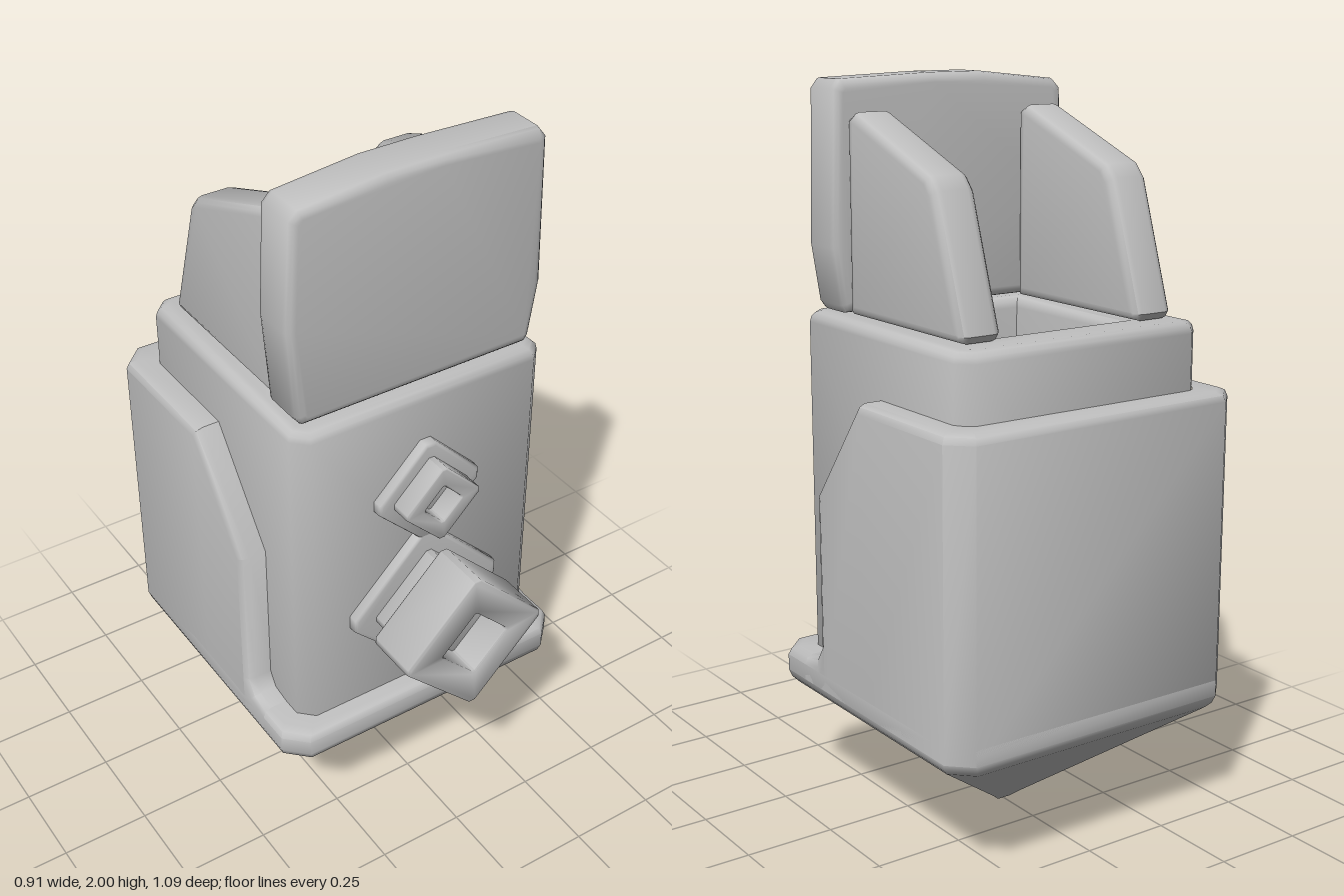
import * as THREE from 'three';
import { toCreasedNormals } from 'three/addons/utils/BufferGeometryUtils.js';

const grey = new THREE.MeshStandardMaterial({ color: 0xbfbfbf });
grey.name = 'plain grey';

function part(group, name, geometry) {
  const mesh = new THREE.Mesh(toCreasedNormals(geometry, 0.85), grey);
  mesh.name = name;
  group.add(mesh);
  return mesh;
}

const toShape = (pts) => new THREE.Shape(pts.map(([x, y]) => new THREE.Vector2(x, y)));

// Extrusion with rounded edges that keeps the outline's size and spans z from..to
function slab(pts, from, to, bevel, hole) {
  const shape = toShape(pts);
  if (hole) shape.holes.push(toShape(hole));
  const geometry = new THREE.ExtrudeGeometry(shape, {
    depth: to - from - 2 * bevel, bevelThickness: bevel, bevelSize: bevel,
    bevelOffset: -bevel, bevelSegments: 3,
  });
  return geometry.translate(0, 0, from + bevel);
}

// Rectangle with cut corners, half sizes a and b, corner cut c
function cutRect(a, b, c, oy = 0) {
  return [[a, b - c], [a, c - b], [a - c, -b], [c - a, -b],
    [-a, c - b], [-a, b - c], [c - a, b], [a - c, b]].map(([x, y]) => [x, y + oy]);
}

// Diamond with slightly blunted tips
function diamond(r, c, oy) {
  return [[r, c], [c, r], [-c, r], [-r, c], [-r, -c], [-c, -r], [c, -r], [r, -c]]
    .map(([x, y]) => [x, y + oy]);
}

// Surface through rows of points, optionally closed around each row
function skin(rows, closed) {
  const n = rows[0].length, index = [];
  for (let i = 0; i < rows.length - 1; i++) {
    for (let j = 0; j < (closed ? n : n - 1); j++) {
      const k = (j + 1) % n;
      const a = i * n + j, b = i * n + k, c = b + n, d = a + n;
      index.push(a, b, c, a, c, d);
    }
  }
  const geometry = new THREE.BufferGeometry();
  geometry.setAttribute('position', new THREE.Float32BufferAttribute(rows.flat(2), 3));
  geometry.setIndex(index);
  return geometry;
}

// Pointed base with a rounded lip: [height, scale]
function pointedBase() {
  const levels = [[0, 0.001], [0.004, 0.05], [0.02, 0.09], [0.325, 0.955], [0.34, 0.985],
    [0.36, 1], [0.405, 1], [0.422, 0.985], [0.43, 0.945], [0.43, 0.6]];
  return skin(levels.map(([y, s]) =>
    cutRect(0.453 * s, 0.447 * s, 0.058 * s).map(([x, z]) => [x, y, z - 0.095])), true);
}

// Wrap-around wall: sides stepped down toward the front, full height at the back
function wall() {
  // z and height of the top edge, then of the start of its rounding
  const edge = [[0.2, 0.43, 0.2, 0.405], [0.145, 0.44, 0.13, 0.42], [0.12, 0.48, 0.095, 0.47],
    [0.12, 0.91, 0.095, 0.9], [-0.1, 1.2, -0.11, 1.175]];
  const row = ([t, k]) => {
    const height = (low, high) => (k < 0 ? 0.36 : low + (high - low) * k);
    const half = edge.map(([z, h, zi, hi]) =>
      [0.453 - t, height(hi, h), zi + (z - zi) * Math.max(k, 0)]);
    half.push([0.453 - t, height(1.175, 1.2), -0.485 + t / 2]);
    half.push([0.395 - t / 2, height(1.175, 1.2), -0.542 + t]);
    return [...half, ...half.map(([x, y, z]) => [-x, y, z]).reverse()];
  };
  return skin([[0, -1], [0, 0], [0.007, 0.7], [0.025, 1], [0.085, 1]].map(row), false);
}

export function createModel() {
  const model = new THREE.Group();
  model.name = 'pointedTower';

  part(model, 'pointedBase', pointedBase());
  part(model, 'outerWall', wall());

  // Main body with an open well in its top
  const well = [[-0.205, -0.115], [0.205, -0.115], [0.205, 0.32], [-0.205, 0.32]];
  part(model, 'body', slab(cutRect(0.38, 0.38, 0.04, 0.085), 0.36, 1.38, 0.03, well)
    .rotateX(-Math.PI / 2));
  part(model, 'wellFloor', new THREE.BoxGeometry(0.43, 0.02, 0.455))
    .position.set(0, 1.16, -0.1025);

  // Slightly irregular front panel
  part(model, 'frontPanel', slab([[-0.34, 1.385], [0.335, 1.385], [0.35, 1.405], [0.375, 1.56],
    [0.365, 1.965], [0.345, 1.99], [0.06, 2], [-0.1, 2], [-0.34, 1.975], [-0.365, 1.95],
    [-0.38, 1.66], [-0.36, 1.41]], 0.125, 0.265, 0.025));

  // Pair of sloping side fins, outlined in z and y
  const fin = [[-0.125, 1.382], [0.38, 1.382], [0.392, 1.4], [0.28, 1.74], [0.25, 1.775],
    [-0.095, 1.908], [-0.125, 1.89]];
  for (const [side, from] of [['left', 0.21], ['right', -0.335]]) {
    part(model, side + 'Fin', slab(fin, from, from + 0.125, 0.025).rotateY(Math.PI / 2));
  }

  // Small diamond knob
  part(model, 'smallDiamondPlate', slab(diamond(0.155, 0.016, 1.08), 0.27, 0.325, 0.01));
  part(model, 'smallDiamondKnob',
    slab(diamond(0.113, 0.008, 1.08), 0.3, 0.385, 0.006, diamond(0.055, 0.003, 1.08)));

  // Large diamond knob on a neck
  part(model, 'largeDiamondPlate', slab(diamond(0.23, 0.02, 0.72), 0.27, 0.325, 0.01));
  part(model, 'largeDiamondNeck', slab(diamond(0.165, 0.008, 0.72), 0.3, 0.45, 0.004));
  part(model, 'largeDiamondHead',
    slab(diamond(0.213, 0.01, 0.72), 0.387, 0.545, 0.008, diamond(0.1, 0.004, 0.72)));

  return model;
}
